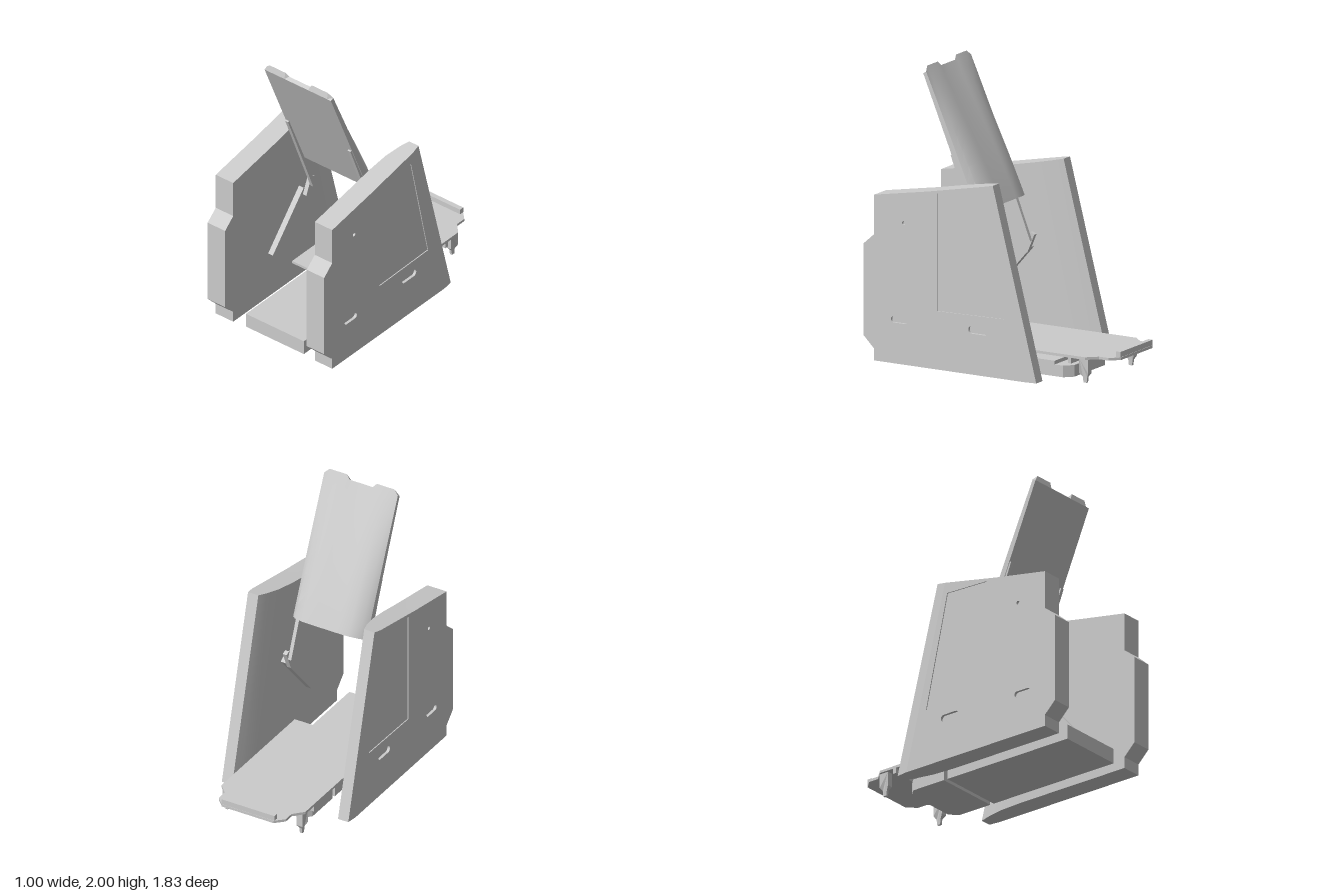
import * as THREE from 'three';
import { toCreasedNormals } from 'three/addons/utils/BufferGeometryUtils.js';

const grey = new THREE.MeshStandardMaterial({ color: 0xcccccc });

function add(parent, name, geometry) {
  const mesh = new THREE.Mesh(geometry, grey);
  mesh.name = name;
  parent.add(mesh);
  return mesh;
}

// Box given by its limits on each axis
function block(parent, name, x0, x1, y0, y1, z0, z1) {
  const mesh = add(parent, name, new THREE.BoxGeometry(x1 - x0, y1 - y0, z1 - z0));
  mesh.position.set((x0 + x1) / 2, (y0 + y1) / 2, (z0 + z1) / 2);
  return mesh;
}

// Flat bar between two (z, y) points, spanning x0 to x1
function bar(parent, name, x0, x1, a, b, width) {
  const dz = b[0] - a[0], dy = b[1] - a[1];
  const mesh = add(parent, name, new THREE.BoxGeometry(x1 - x0, Math.hypot(dz, dy), width));
  mesh.position.set((x0 + x1) / 2, (a[1] + b[1]) / 2, (a[0] + b[0]) / 2);
  mesh.rotation.x = Math.atan2(dz, dy);
}

// Shape or hole outline from (z, y) points
const outline = (Type, points) => new Type(points.map(([z, y]) => new THREE.Vector2(-z, y)));

// Extrude a (z, y) shape sideways from x0 to x1
function sideways(shape, x0, x1) {
  return new THREE.ExtrudeGeometry(shape, { depth: x1 - x0, bevelEnabled: false, curveSegments: 8 })
    .rotateY(Math.PI / 2).translate(x0, 0, 0);
}

// Extrude an (x, z) outline upwards from y0 to y1
function upright(points, y0, y1) {
  const shape = new THREE.Shape(points.map(([x, z]) => new THREE.Vector2(x, -z)));
  return new THREE.ExtrudeGeometry(shape, { depth: y1 - y0, bevelEnabled: false })
    .rotateX(-Math.PI / 2).translate(0, y0, 0);
}

function slot(z, y, length, height) {
  const r = height / 2, h = length / 2 - r, path = new THREE.Path();
  path.absarc(-z + h, y, r, -Math.PI / 2, Math.PI / 2);
  path.absarc(-z - h, y, r, Math.PI / 2, Math.PI * 1.5);
  path.closePath();
  return path;
}

// Panel core: loft of four-cornered sections running from back to front
function panelCore() {
  // zBottom, yBottom, zTop, yTop, xInner, xOuter
  const stations = [
    [-0.43, 0, -0.09, 1.31, 0.41, 0.49],
    [-0.35, 0, -0.02, 1.296, 0.385, 0.5],
    [-0.35, 0, -0.02, 1.296, 0.385, 0.48],
    [-0.23, 0, 0.10, 1.272, 0.36, 0.48],
    [-0.05, 0, 0.26, 1.24, 0.35, 0.48],
    [0.2, 0, 0.42, 1.208, 0.35, 0.48],
    [0.83, 0, 0.83, 1.135, 0.35, 0.48],
    [0.83, 0.08, 0.83, 0.865, 0.35, 0.48],
    [0.915, 0.165, 0.915, 0.79, 0.35, 0.48],
  ];
  const rings = stations.map(([zb, yb, zt, yt, xi, xo]) =>
    [[xi, yb, zb], [xo, yb, zb], [xo, yt, zt], [xi, yt, zt]]);
  const pos = [];
  const quad = (a, b, c, d) => pos.push(...a, ...b, ...c, ...a, ...c, ...d);
  for (let i = 0; i < rings.length - 1; i++) {
    for (let j = 0; j < 4; j++) {
      const k = (j + 1) % 4;
      quad(rings[i][j], rings[i][k], rings[i + 1][k], rings[i + 1][j]);
    }
  }
  const [p, q, r, s] = rings[0];
  quad(s, r, q, p);
  quad(...rings[rings.length - 1]);
  const geo = new THREE.BufferGeometry();
  geo.setAttribute('position', new THREE.Float32BufferAttribute(pos, 3));
  return toCreasedNormals(geo, 0.4);
}

function sideAssembly(name) {
  const side = new THREE.Group();
  side.name = name;
  add(side, 'sidePanel', panelCore());

  // Outer skin with slots, a pin hole and a shallow access cover
  const skin = outline(THREE.Shape, [[-0.35, 0], [-0.02, 1.296], [0.42, 1.208], [0.83, 1.135], [0.83, 0.865],
    [0.915, 0.79], [0.915, 0.165], [0.83, 0.08], [0.83, 0]]);
  const cover = [[0.335, 1.205], [0.335, 0.4], [-0.18, 0.41], [0, 1.215]];
  const pin = new THREE.Path();
  pin.absarc(-0.6, 0.97, 0.013, 0, Math.PI * 2);
  skin.holes.push(slot(0.635, 0.3, 0.13, 0.042), slot(0.02, 0.305, 0.15, 0.05), pin, outline(THREE.Path, cover));
  add(side, 'panelSkin', sideways(skin, 0.48, 0.5));
  add(side, 'accessCover', sideways(outline(THREE.Shape, cover), 0.48, 0.493));

  // Linkage carrying the backrest
  bar(side, 'backrestArm', 0.255, 0.28, [0.355, 1.425], [0.09, 0.75], 0.03);
  bar(side, 'elbowLink', 0.28, 0.31, [0.075, 0.805], [0.13, 0.675], 0.035);
  bar(side, 'lowerLink', 0.31, 0.355, [0.12, 0.715], [0.445, 0.34], 0.045);

  // Tapered foot under the tray
  const foot = add(side, 'foot', sideways(outline(THREE.Shape, [[-0.655, 0.165], [-0.655, 0.065], [-0.675, 0.04],
    [-0.68, 0], [-0.705, 0], [-0.71, 0.04], [-0.725, 0.065], [-0.725, 0.165]]), 0.265, 0.31));
  const p = foot.geometry.attributes.position;
  for (let i = 0; i < p.count; i++) {
    if (p.getY(i) < 0.05) p.setX(i, 0.2875 + (p.getX(i) - 0.2875) * 0.4);
  }
  foot.geometry = toCreasedNormals(foot.geometry, 0.3);
  return side;
}

// Backrest: flat front, rounded back thinning towards a notched top
function backrest() {
  const half = [[0.09, 1, 1.005], [0.115, 1, 1.035], [0.18, 0.95, 1.035], [0.25, 0.72, 1.035], [0.285, 0.38, 1.0]];
  const columns = [...half.map(([x, t, h]) => [-x, t, h]).reverse(), [0, 1, 1.005], ...half];
  const n = columns.length - 1;
  const geo = new THREE.BoxGeometry(1, 1, 1, n, 10, 1);
  const p = geo.attributes.position;
  for (let i = 0; i < p.count; i++) {
    const [x, round, top] = columns[Math.round((p.getX(i) + 0.5) * n)];
    const s = p.getY(i) + 0.5, rear = p.getZ(i) < 0;
    const depth = 0.12 * round + (0.027 - 0.12 * round) * Math.pow(s, 1.4);
    p.setXYZ(i, x, s * (rear ? top : 0.997), rear ? -depth : 0);
  }
  return toCreasedNormals(geo, 0.5);
}

export function createModel() {
  const model = new THREE.Group();
  model.name = 'chairFrame';

  // Mirrored sides
  model.add(sideAssembly('leftSide'));
  const right = sideAssembly('rightSide');
  right.scale.x = -1;
  model.add(right);

  // Forward-leaning backrest
  const back = add(model, 'backrest', backrest());
  back.position.set(0, 1.035, 0.195);
  back.rotation.x = Math.atan2(0.385, 0.92);

  // Tray with stepped rear corners, cross rail and rear lip
  const edge = [[0.325, 0.24], [0.325, -0.71], [0.26, -0.78], [0.26, -0.855], [0.2, -0.915]];
  const mirrored = edge.map(([x, z]) => [-x, z]).reverse();
  add(model, 'tray', upright([...edge, ...mirrored], 0.163, 0.181));
  block(model, 'crossRail', -0.325, 0.325, 0.125, 0.163, -0.602, -0.575);
  block(model, 'rearLip', -0.205, 0.205, 0.181, 0.218, -0.912, -0.878);

  // Base blocks near the floor
  block(model, 'baseFront', -0.248, 0.248, 0, 0.105, -0.2, 0.82);
  block(model, 'baseDeck', -0.248, 0.248, 0.08, 0.105, -0.425, -0.2);
  add(model, 'baseRear', upright([[0.248, -0.23], [0.248, -0.49], [0.193, -0.545],
    [-0.193, -0.545], [-0.248, -0.49], [-0.248, -0.23]], 0, 0.08));

  return model;
}
